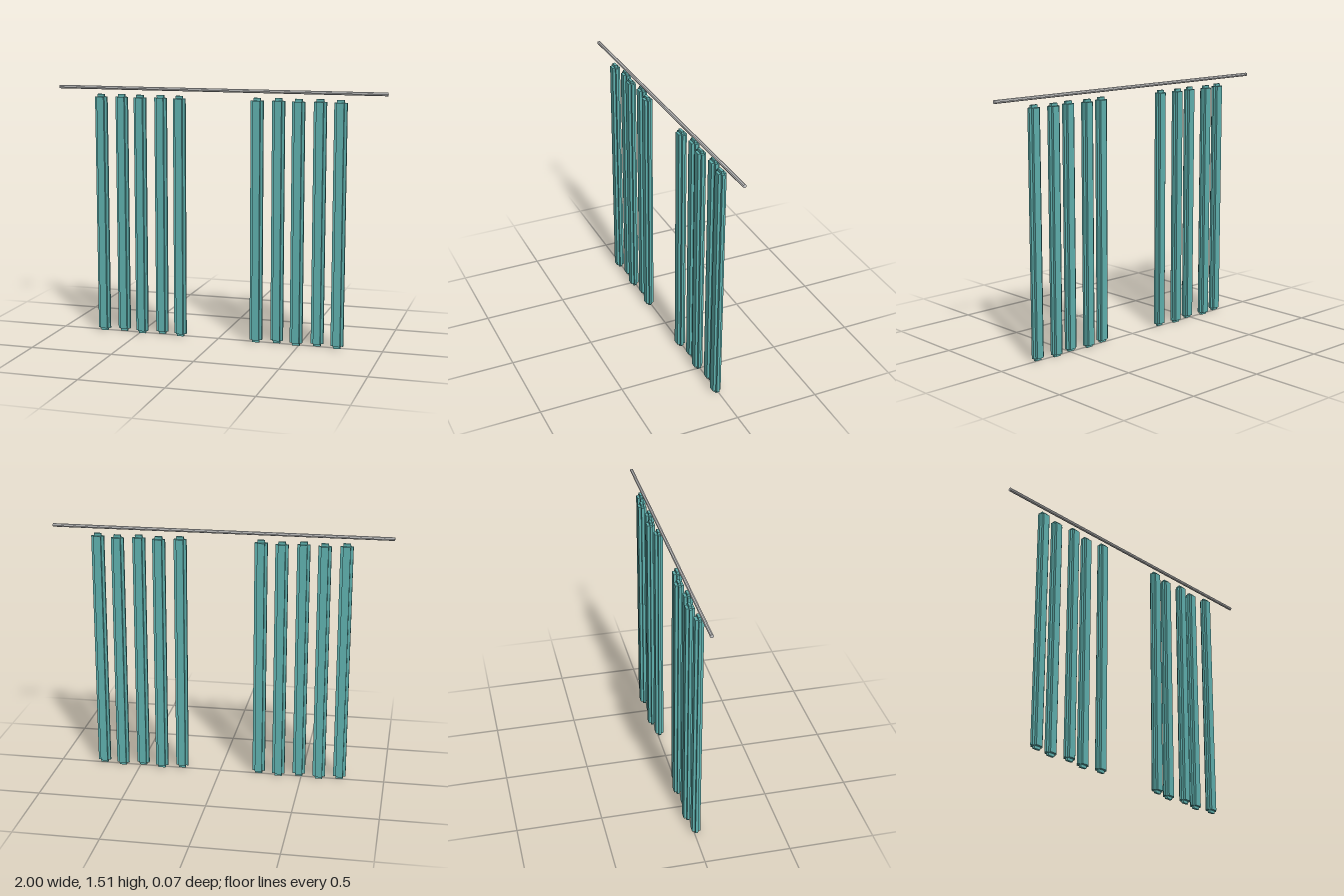
import * as THREE from 'three';

const W = 0.075, H = 1.464, D = 0.048, STEP = 0.016;

export function createModel() {
  const model = new THREE.Group();
  model.name = 'curtain';
  const grey = new THREE.MeshStandardMaterial({ color: 0xcccccc, flatShading: true });
  const teal = new THREE.MeshStandardMaterial({ color: 0x5fb0ae, flatShading: true });

  // Rod spanning the full width
  const rod = new THREE.Mesh(new THREE.CylinderGeometry(0.0105, 0.0105, 2, 8), grey);
  rod.name = 'rod';
  rod.rotation.z = Math.PI / 2;
  rod.position.set(0, 1.502, 0.009);
  model.add(rod);

  // One fold: three crossed boxes, each full size along one axis, giving stepped edges
  const s = 2 * STEP;
  const boxes = [
    new THREE.BoxGeometry(W, H - s, D - s),
    new THREE.BoxGeometry(W - s, H, D - s),
    new THREE.BoxGeometry(W - s, H - s, D),
  ];
  const names = ['foldSides', 'foldCore', 'foldFaces'];
  const makeFold = (x, z) => {
    const fold = new THREE.Group();
    fold.name = 'fold';
    boxes.forEach((geometry, i) => {
      const mesh = new THREE.Mesh(geometry, teal);
      mesh.name = names[i];
      fold.add(mesh);
    });
    fold.position.set(x, H / 2, z);
    return fold;
  };

  // Two mirrored panels of five folds, alternately forward and back
  for (const side of [-1, 1]) {
    const panel = new THREE.Group();
    panel.name = side > 0 ? 'leftPanel' : 'rightPanel';
    for (let i = 0; i < 5; i++) {
      panel.add(makeFold(side * (0.238 + i * 0.1233), i % 2 ? -0.01 : 0.01));
    }
    model.add(panel);
  }
  return model;
}
